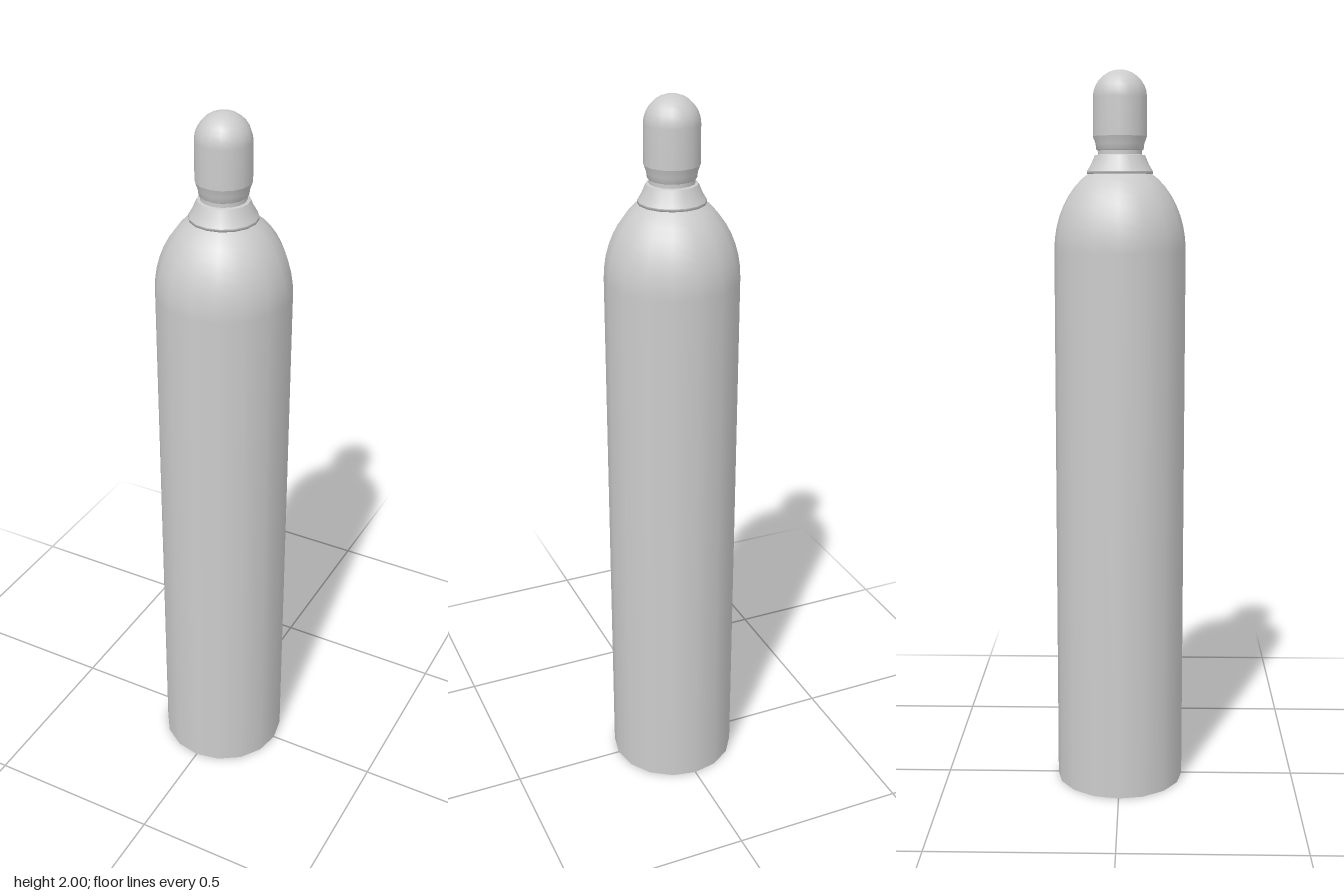
import * as THREE from 'three';

const SIDES = 16;
const material = new THREE.MeshStandardMaterial({ color: 0xcccccc });

// Turned part: profile points [radius, height] from bottom to top
function turned(name, profile) {
  const points = profile.map(([r, y]) => new THREE.Vector2(r, y));
  const mesh = new THREE.Mesh(new THREE.LatheGeometry(points, SIDES), material);
  mesh.name = name;
  return mesh;
}

// Elliptical arc of [radius, height] points, rising from angle 0 to end
function arc(rx, ry, y, end, steps) {
  return Array.from({ length: steps + 1 }, (_, i) => {
    const a = (end * i) / steps;
    return [Math.max(0, rx * Math.cos(a)), y + ry * Math.sin(a)];
  });
}

export function createModel() {
  const group = new THREE.Group();
  group.name = 'gasCylinder';

  // Flat base disc
  const base = new THREE.Mesh(new THREE.CircleGeometry(0.18, SIDES), material);
  base.name = 'base';
  base.rotation.x = Math.PI / 2;
  group.add(base);

  // Straight tank wall running into the rounded shoulder
  group.add(turned('tank', [[0.18, 0], ...arc(0.18, 0.235, 1.52, 1.09, 8)]));

  // Collar ring: small lip underneath, sloping side, flat top
  group.add(turned('collarLip', [[0.08, 1.725], [0.09, 1.725], [0.09, 1.732]]));
  group.add(turned('collar', [[0.09, 1.732], [0.079, 1.75], [0.068, 1.775]]));
  group.add(turned('collarTop', [[0.068, 1.775], [0.055, 1.778]]));

  // Narrow neck under the cap
  group.add(turned('neck', [[0.06, 1.77], [0.06, 1.795]]));

  // Valve cap: flared bottom edge, straight wall and round dome
  group.add(turned('capRim', [[0.058, 1.786], [0.064, 1.79], [0.066, 1.805], [0.073, 1.825]]));
  group.add(turned('cap', [[0.073, 1.825], ...arc(0.073, 0.073, 1.927, Math.PI / 2, 7)]));

  return group;
}
